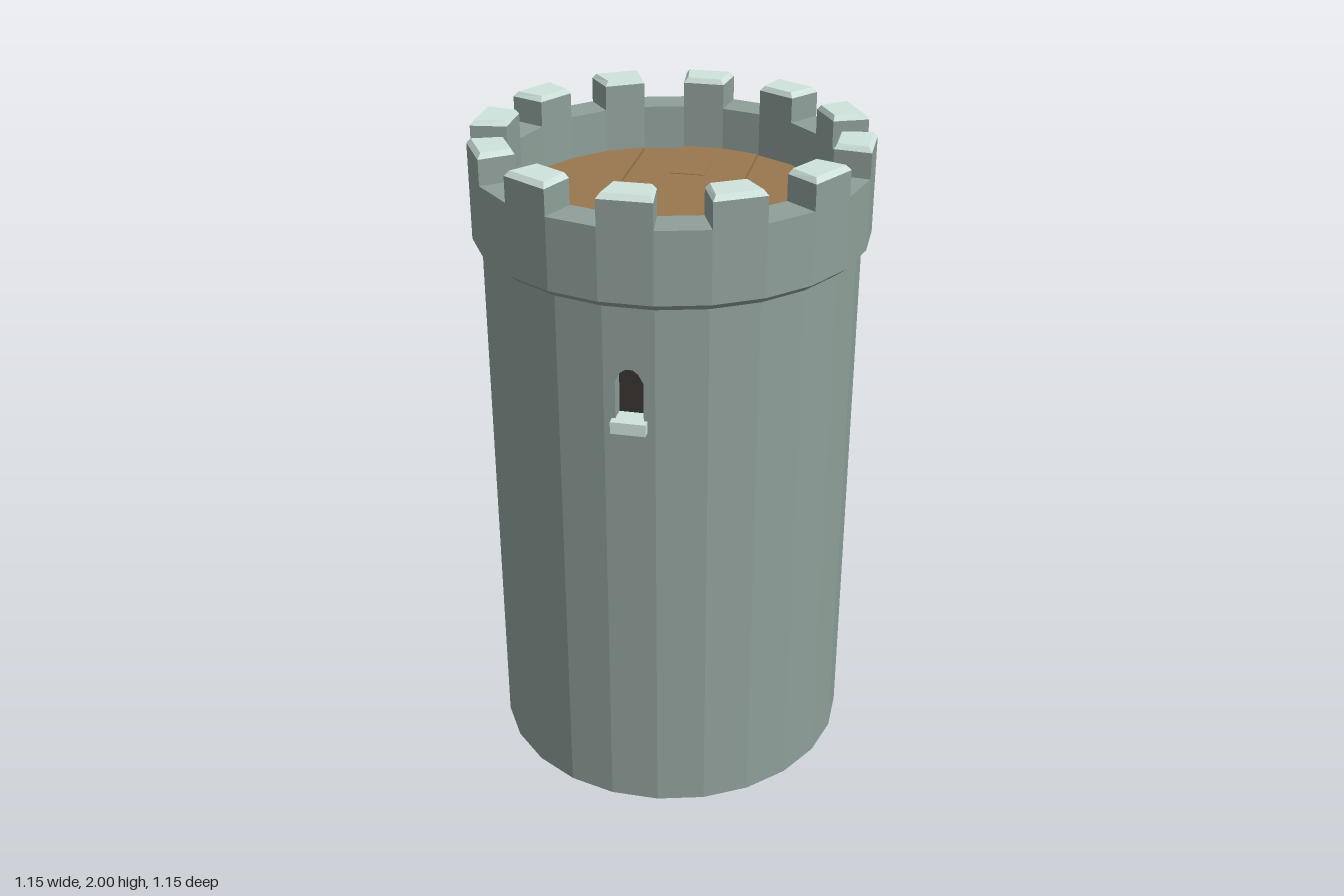
import * as THREE from 'three';

const SIDES = 24;
const STEP = (Math.PI * 2) / SIDES;
const HALF = STEP / 2;
const TAN = Math.tan(HALF);

const paint = (color) => new THREE.MeshStandardMaterial({ color, flatShading: true });
const stone = paint(0x8f9f99);
const paleStone = paint(0xcfe3dc);
const wood = paint(0x98774f);
const dark = paint(0x38332f);

function add(parent, name, geometry, material) {
  const mesh = new THREE.Mesh(geometry, material);
  mesh.name = name;
  parent.add(mesh);
  return mesh;
}

const points = (list) => list.map(([x, y]) => new THREE.Vector2(x, y));

// Faceted wall swept through a number of sides, with flats facing the axes
const sweep = (profile, start, sides) =>
  new THREE.LatheGeometry(points(profile), sides, start, sides * STEP);

// Wedge block filling one side of the ring, with a chamfer around its top
function wedge(inner, outer, y0, y1, chamfer = 0) {
  const g = new THREE.BoxGeometry(1, 1, 1);
  const p = g.attributes.position;
  for (let i = 0; i < p.count; i++) {
    const top = p.getY(i) > 0;
    const c = top ? chamfer : 0;
    const far = p.getZ(i) > 0;
    const r = far ? outer : inner;
    p.setXYZ(i, Math.sign(p.getX(i)) * (r * TAN - c), top ? y1 : y0, far ? r - c : r + c * 0.7);
  }
  g.computeVertexNormals();
  return g;
}

// Wall side pierced by an arched window, with its dark recess and sill
function windowSide(radius) {
  const side = new THREE.Group();
  const face = radius * Math.cos(HALF);
  const half = radius * Math.sin(HALF);
  const depth = 0.1;
  const panel = new THREE.Shape(points([[-half, 0], [half, 0], [half, 1.69], [-half, 1.69]]));
  panel.holes.push(new THREE.Path(points([
    [-0.04, 1.33], [-0.04, 1.455], [-0.026, 1.482], [-0.01, 1.494],
    [0.01, 1.494], [0.026, 1.482], [0.04, 1.455], [0.04, 1.33],
  ])));
  const wall = add(side, 'windowWall',
    new THREE.ExtrudeGeometry(panel, { depth, bevelEnabled: false }), stone);
  wall.position.z = face - depth;

  const pane = add(side, 'windowRecess', new THREE.PlaneGeometry(0.1, 0.2), dark);
  pane.position.set(0, 1.41, face - 0.05);

  const sill = add(side, 'windowSill', new THREE.BoxGeometry(0.1, 0.036, 0.07), paleStone);
  sill.position.set(0, 1.324, face - 0.01);
  return side;
}

// Floor board between two x positions, its ends following the round wall
function board(x0, x1, top) {
  const r = 0.495;
  const n = 6;
  const outline = [];
  for (let k = 0; k <= n; k++) {
    const x = x0 + ((x1 - x0) * k) / n;
    outline.push([x, -Math.sqrt(r * r - x * x)]);
  }
  const back = outline.map(([x, z]) => [x, -z]).reverse();
  const g = new THREE.ExtrudeGeometry(new THREE.Shape(points([...outline, ...back])),
    { depth: 0.03, bevelEnabled: false });
  g.rotateX(-Math.PI / 2);
  g.translate(0, top - 0.03, 0);
  return g;
}

export function createModel() {
  const tower = new THREE.Group();
  tower.name = 'tower';

  // Round wall: two plain halves joined by the front and back window sides
  const bodyRadius = 0.555;
  const bodyProfile = [[0.45, 0], [bodyRadius, 0], [bodyRadius, 1.69]];
  for (const turn of [0, Math.PI]) {
    add(tower, 'towerWall', sweep(bodyProfile, HALF + turn, SIDES / 2 - 1), stone);
    const side = windowSide(bodyRadius);
    side.name = 'windowSide';
    side.rotation.y = turn;
    tower.add(side);
  }

  // Dark underside inside the foot ring
  const base = add(tower, 'baseOpening', new THREE.CircleGeometry(0.456, SIDES, HALF), dark);
  base.rotation.x = Math.PI / 2;
  base.position.y = 0.002;

  // Flared parapet
  const outerR = 0.582;
  const innerR = 0.475;
  add(tower, 'parapet', sweep([
    [bodyRadius - 0.005, 1.673], [outerR, 1.7], [outerR, 1.91], [innerR, 1.91], [innerR, 1.74],
  ], HALF, SIDES), stone);

  // Battlements on every other side
  const inner = innerR * Math.cos(HALF);
  const outer = outerR * Math.cos(HALF);
  const block = wedge(inner, outer, 1.905, 1.985);
  const cap = wedge(inner, outer, 1.985, 2, 0.011);
  for (let i = 0; i < SIDES; i += 2) {
    const merlon = new THREE.Group();
    merlon.name = 'merlon';
    add(merlon, 'merlonBlock', block, stone);
    add(merlon, 'merlonCap', cap, paleStone);
    merlon.rotation.y = i * STEP;
    tower.add(merlon);
  }

  // Boarded floor with dark gaps and a small hatch
  const underFloor = add(tower, 'underFloor', new THREE.CircleGeometry(0.49, SIDES), dark);
  underFloor.rotation.x = -Math.PI / 2;
  underFloor.position.y = 1.76;
  const seams = [-0.49, -0.18, -0.065, 0.18, 0.49];
  const heights = [1.78, 1.776, 1.782, 1.779];
  heights.forEach((top, i) => {
    add(tower, 'floorBoard', board(seams[i] + 0.002, seams[i + 1] - 0.002, top), wood);
  });
  const hatch = add(tower, 'hatch', new THREE.BoxGeometry(0.108, 0.01, 0.152), wood);
  hatch.position.set(0, 1.779, -0.287);

  return tower;
}
